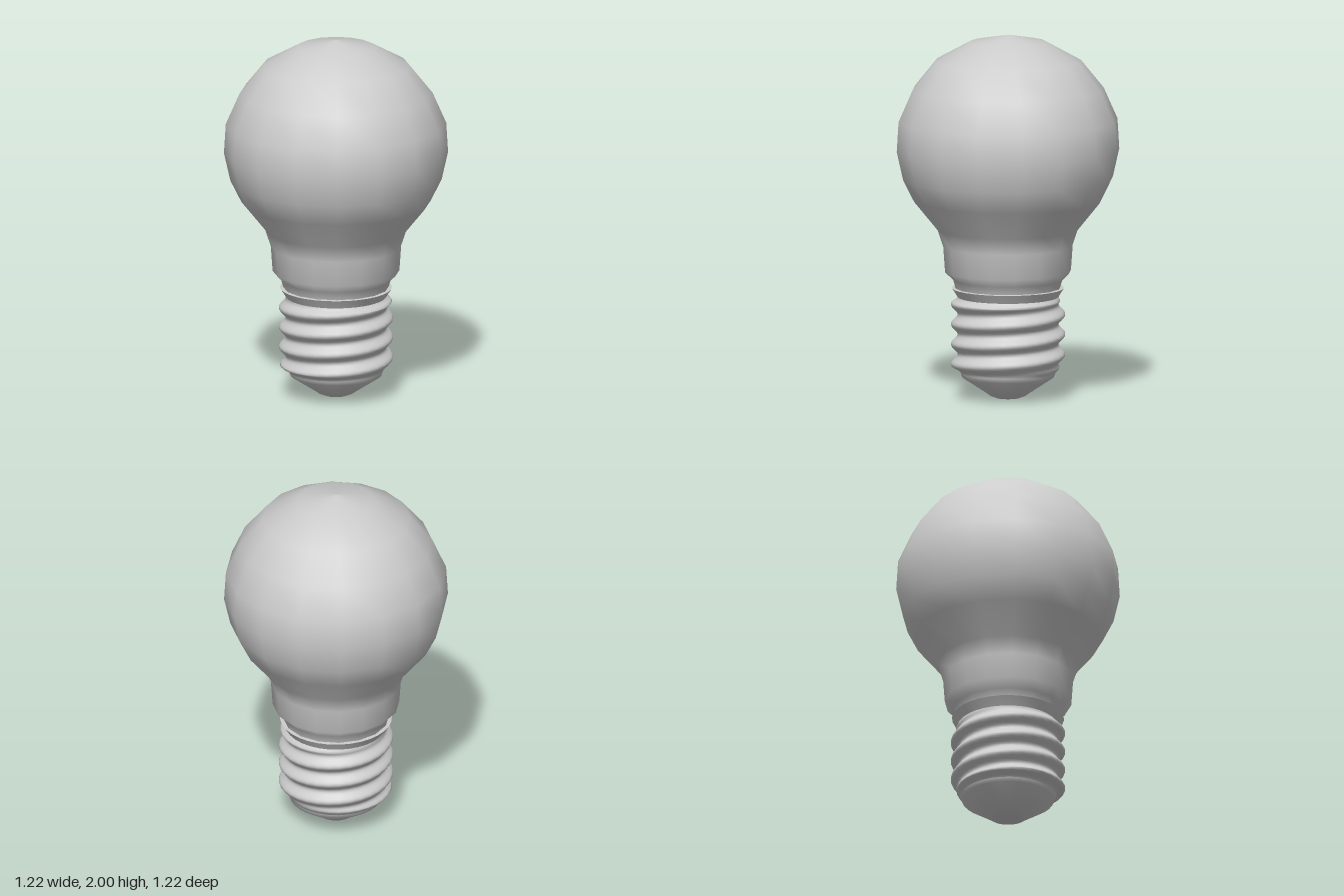
import * as THREE from 'three';
import { mergeVertices, toCreasedNormals } from 'three/addons/utils/BufferGeometryUtils.js';

const material = new THREE.MeshStandardMaterial({ color: 0xcccccc, side: THREE.DoubleSide });

// Revolve a bottom-to-top list of [radius, height]
const revolve = (points, sides) =>
  new THREE.LatheGeometry(points.map(([r, y]) => new THREE.Vector2(r, y)), sides);

function addPart(group, name, geometry) {
  const mesh = new THREE.Mesh(geometry, material);
  mesh.name = name;
  group.add(mesh);
}

// Sleeve whose radius follows a right-handed helical wave, fading out at both ends
function threadGeometry() {
  const bottom = 0.14, top = 0.56, pitch = 0.11, rows = 48;
  const points = [];
  for (let i = 0; i <= rows; i++) points.push([1, bottom + (top - bottom) * i / rows]);
  let geometry = revolve(points, 32);
  geometry.deleteAttribute('normal');
  geometry.deleteAttribute('uv');
  geometry = mergeVertices(geometry);
  const pos = geometry.attributes.position;
  for (let i = 0; i < pos.count; i++) {
    const x = pos.getX(i), y = pos.getY(i), z = pos.getZ(i);
    const phase = (y - 0.5275) / pitch * Math.PI * 2 - Math.atan2(x, z);
    const wave = 0.5 + 0.5 * Math.cos(phase);
    const fade = THREE.MathUtils.smoothstep(y, bottom, 0.18) *
      (1 - THREE.MathUtils.smoothstep(y, 0.53, top));
    const root = 0.258 + 0.017 * THREE.MathUtils.smoothstep(y, bottom, 0.18);
    const r = root + 0.037 * wave * fade;
    pos.setXYZ(i, x * r, y, z * r);
  }
  geometry.computeVertexNormals();
  return geometry;
}

export function createModel() {
  const bulb = new THREE.Group();
  bulb.name = 'lightBulb';

  // Round glass envelope with a narrowing neck
  addPart(bulb, 'glass', revolve([
    [0.285, 0.6], [0.3, 0.655], [0.345, 0.7], [0.355, 0.84], [0.385, 0.93],
    [0.515, 1.09], [0.575, 1.21], [0.61, 1.365], [0.6, 1.53], [0.525, 1.7],
    [0.4, 1.855], [0.21, 1.96], [0, 2],
  ], 16));

  // Screw cap: flared rim, thread and insulating cone
  addPart(bulb, 'capRim', toCreasedNormals(revolve([
    [0.275, 0.56], [0.287, 0.58], [0.305, 0.608], [0.28, 0.61],
  ], 32), 0.7));
  addPart(bulb, 'screwThread', threadGeometry());
  addPart(bulb, 'insulator', toCreasedNormals(revolve([
    [0.125, 0.036], [0.25, 0.118], [0.258, 0.14],
  ], 32), 0.9));

  // Contact at the foot
  addPart(bulb, 'contact', revolve([
    [0, 0], [0.065, 0.004], [0.1, 0.018], [0.13, 0.04],
  ], 32));

  return bulb;
}
